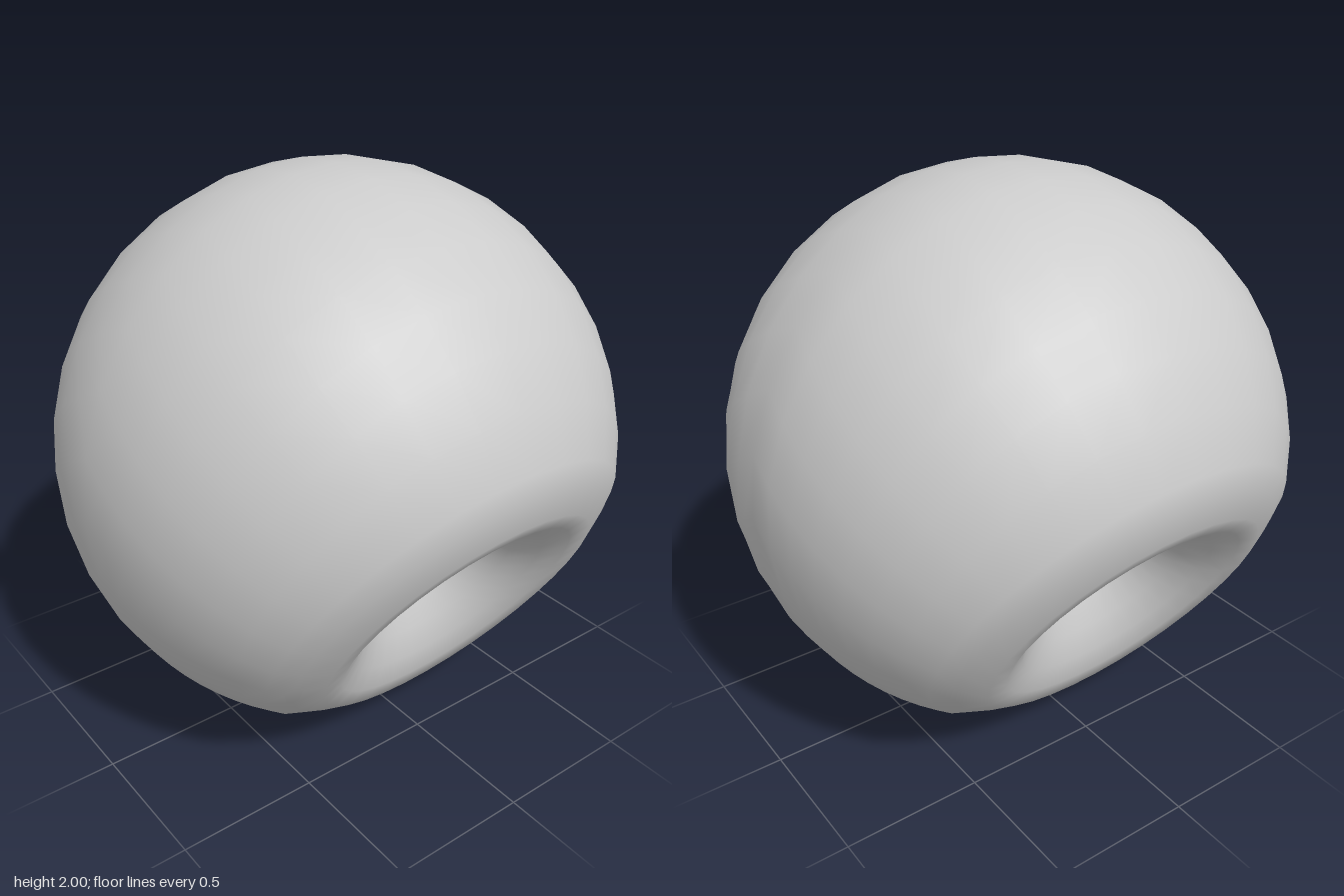
import * as THREE from 'three';
import { mergeVertices } from 'three/addons/utils/BufferGeometryUtils.js';

const AROUND = 32; // segments around each funnel axis
const REST = 7;    // rings from the lip out to the middle plane

// Funnel section: [radius from the axis, height along the axis], hole edge to ball
const funnel = [
  [0.092, 0.39], [0.15, 0.475], [0.22, 0.58], [0.30, 0.68], [0.38, 0.745],
  [0.46, 0.785], [0.535, 0.793], [0.63, 0.75], [0.707, 0.707],
];

// Hollow ball with a funnel sunk into each side, tilted 30 degrees downwards
function shellGeometry() {
  const axis = new THREE.Vector3(Math.cos(Math.PI / 6), -0.5, 0);
  const up = new THREE.Vector3(0.5, Math.cos(Math.PI / 6), 0);
  const out = new THREE.Vector3(0, 0, 1);
  const positions = [], index = [];
  const rows = funnel.length + REST;

  for (const side of [1, -1]) {
    const base = positions.length / 3;
    for (let i = 0; i < AROUND; i++) {
      const phi = (i / AROUND) * Math.PI * 2;
      const c = Math.cos(phi), s = Math.sin(phi);
      // polar angle at which this meridian reaches the middle plane
      const end = Math.atan2(Math.sqrt(3), -c);
      for (let j = 0; j < rows; j++) {
        let r, h;
        if (j < funnel.length) [r, h] = funnel[j];
        else {
          const k = (j - funnel.length + 1) / REST;
          const theta = THREE.MathUtils.lerp(Math.PI / 4, end, k);
          r = Math.sin(theta);
          h = Math.cos(theta);
        }
        const p = new THREE.Vector3()
          .addScaledVector(axis, h)
          .addScaledVector(up, r * c)
          .addScaledVector(out, r * s);
        const x = j === rows - 1 ? 0 : p.x * side;
        positions.push(x, p.y + 1, p.z);
      }
    }
    for (let i = 0; i < AROUND; i++) {
      for (let j = 0; j < rows - 1; j++) {
        const a = base + i * rows + j;
        const d = base + ((i + 1) % AROUND) * rows + j;
        const b = a + 1, e = d + 1;
        if (side > 0) index.push(a, b, e, a, e, d);
        else index.push(a, e, b, a, d, e);
      }
    }
  }

  // Weld the halves so the shading runs smoothly across the middle
  let geometry = new THREE.BufferGeometry();
  geometry.setAttribute('position', new THREE.Float32BufferAttribute(positions, 3));
  geometry.setIndex(index);
  geometry = mergeVertices(geometry, 1e-4);
  geometry.computeVertexNormals();
  return geometry;
}

export function createModel() {
  const group = new THREE.Group();
  group.name = 'dimpledBall';
  const material = new THREE.MeshStandardMaterial({ color: 0xcccccc, side: THREE.DoubleSide });
  const shell = new THREE.Mesh(shellGeometry(), material);
  shell.name = 'shell';
  group.add(shell);
  return group;
}
